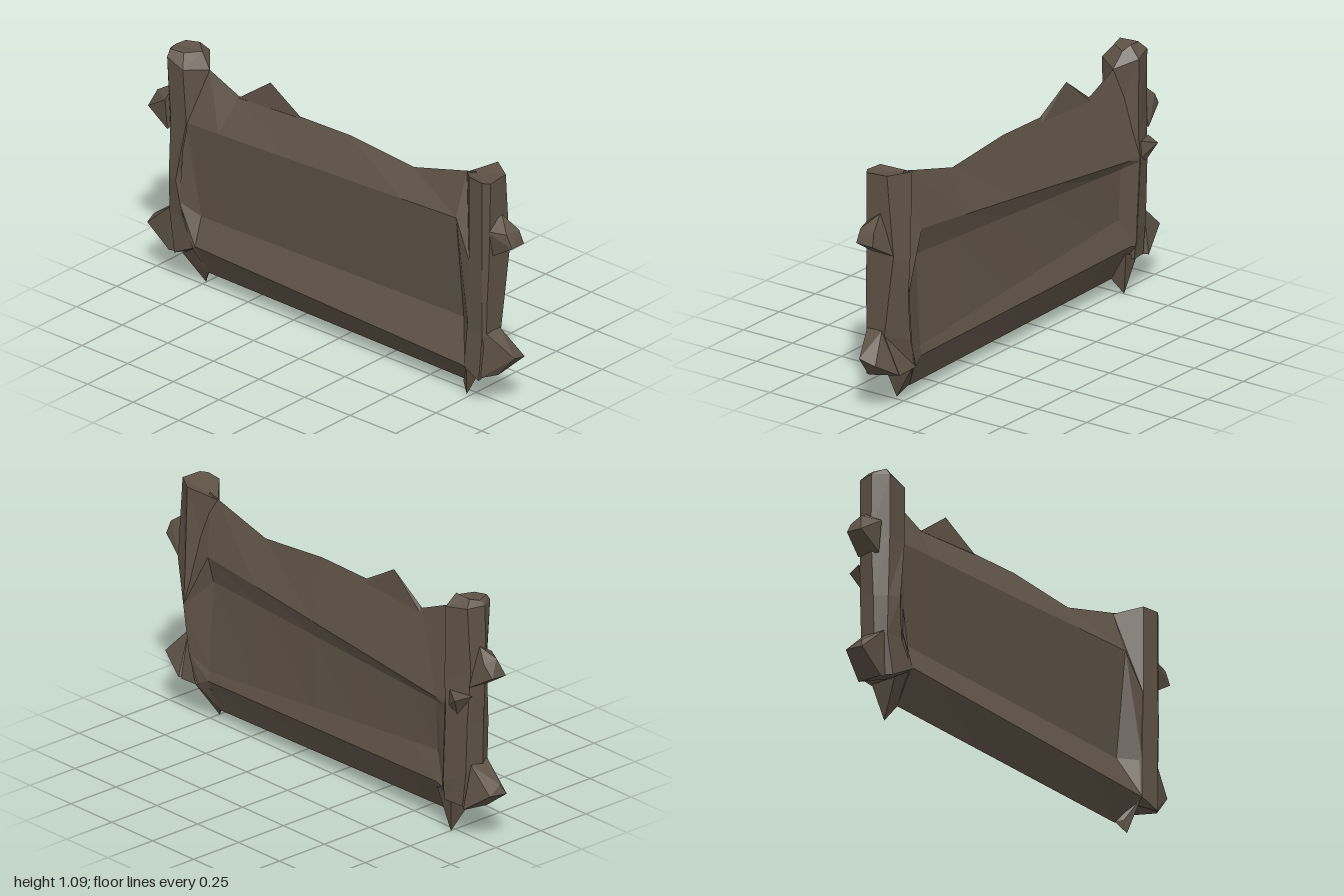
import * as THREE from 'three';
import { ConvexGeometry } from 'three/addons/geometries/ConvexGeometry.js';

// Skin closed rings of equal length, cap both ends, and wind faces outward.
function loft(rings) {
  const n = rings[0].length, tris = [];
  for (let r = 0; r < rings.length - 1; r++) {
    for (let i = 0; i < n; i++) {
      const j = (i + 1) % n;
      const a = rings[r][i], b = rings[r][j], c = rings[r + 1][j], d = rings[r + 1][i];
      tris.push([a, b, c], [a, c, d]);
    }
  }
  const first = rings[0], last = rings[rings.length - 1];
  for (let i = 1; i < n - 1; i++) {
    tris.push([first[0], first[i + 1], first[i]], [last[0], last[i], last[i + 1]]);
  }
  const v = (p) => new THREE.Vector3(...p);
  const volume = tris.reduce((s, [a, b, c]) => s + v(a).dot(v(b).cross(v(c))), 0);
  if (volume < 0) tris.forEach((t) => t.reverse());
  const g = new THREE.BufferGeometry();
  g.setAttribute('position', new THREE.Float32BufferAttribute(tris.flat(2), 3));
  g.computeVertexNormals();
  return g;
}

const hull = (points) => new ConvexGeometry(points.map((p) => new THREE.Vector3(...p)));

export function createModel() {
  const group = new THREE.Group();
  const wood = new THREE.MeshStandardMaterial({ color: 0x5e5246, flatShading: true });
  wood.name = 'dark weathered wood';
  const add = (name, geometry) => {
    const mesh = new THREE.Mesh(geometry, wood);
    mesh.name = name;
    group.add(mesh);
  };

  // Board: each profile row runs from [x, y, z] at the right end to [x, y, z] at the left end
  const profile = [
    [[-0.755, 0.77, 0.085], [0.70, 0.813, 0.068]],
    [[-0.715, 0.34, 0.047], [0.70, 0.34, 0.02]],
    [[-0.71, 0.22, 0.093], [0.75, 0.167, 0.098]],
    [[-0.71, 0.07, 0.01], [0.70, 0.05, 0.01]],
    [[-0.72, 0.23, -0.08], [0.70, 0.2, -0.056]],
    [[-0.69, 0.35, -0.042], [0.70, 0.24, -0.046]],
    [[-0.69, 0.575, -0.052], [0.70, 0.64, -0.025]],
    [[-0.72, 0.61, -0.08], [0.70, 0.76, -0.056]],
  ];
  const topEdge = [[-0.71, 1.0], [-0.55, 0.932], [-0.2, 0.95], [0.06, 0.955], [0.41, 0.925], [0.70, 1.005]];
  const stations = topEdge.map(([x, topY]) => {
    const t = (x + 0.71) / 1.41;
    return [[x, topY, 0], ...profile.map(([right, left]) =>
      right.map((value, k) => THREE.MathUtils.lerp(value, left[k], t)))];
  });
  // End sections flare out to meet the posts
  const rightJoint = [
    [-0.75, 1.01, 0], [-0.77, 0.77, 0.088], [-0.795, 0.4, 0.094], [-0.725, 0.21, 0.094], [-0.72, 0.08, 0.01],
    [-0.76, 0.22, -0.08], [-0.765, 0.3, -0.08], [-0.78, 0.59, -0.084], [-0.78, 0.61, -0.085],
  ];
  const leftJoint = [
    [0.75, 1.02, 0], [0.79, 0.65, 0.088], [0.785, 0.34, 0.088], [0.775, 0.165, 0.1], [0.72, 0.06, 0.01],
    [0.77, 0.17, -0.066], [0.795, 0.3, -0.072], [0.82, 0.5, -0.077], [0.82, 0.52, -0.078],
  ];
  add('board', loft([rightJoint, ...stations, leftJoint]));

  // Splinter standing on the top edge
  add('topSplinter', hull([
    [-0.55, 0.925, 0.004], [-0.38, 1.05, -0.003], [-0.2, 0.945, 0.004],
    [-0.54, 0.915, -0.008], [-0.21, 0.93, -0.008],
  ]));

  // Posts: rings run inner, front inner, front outer, outer, back outer, back inner
  add('leftPost', loft([
    [[0.70, 1.0, 0], [0.79, 1.04, 0.09], [0.87, 1.04, 0.1], [0.9, 1.04, 0.08], [0.895, 1.045, -0.02], [0.8, 1.05, -0.08]],
    [[0.75, 0.68, 0], [0.79, 0.65, 0.09], [0.87, 0.65, 0.1], [0.895, 0.65, 0.085], [0.89, 0.69, -0.05], [0.815, 0.65, -0.08]],
    [[0.75, 0.5, 0], [0.785, 0.5, 0.09], [0.87, 0.5, 0.1], [0.89, 0.5, 0.09], [0.888, 0.51, -0.025], [0.825, 0.5, -0.078]],
    [[0.74, 0.35, 0], [0.78, 0.35, 0.09], [0.87, 0.33, 0.1], [0.885, 0.33, 0.09], [0.885, 0.33, 0], [0.8, 0.3, -0.072]],
    [[0.70, 0.16, 0], [0.77, 0.165, 0.1], [0.86, 0.13, 0.11], [0.87, 0.15, 0.06], [0.86, 0.16, -0.06], [0.76, 0.17, -0.07]],
  ]));
  add('rightPost', loft([
    [[-0.76, 1.065, -0.01], [-0.8, 1.07, 0.06], [-0.86, 1.075, 0.075], [-0.88, 1.07, 0.02], [-0.86, 1.08, -0.02], [-0.79, 1.09, -0.03]],
    [[-0.71, 1.0, 0], [-0.77, 1.015, 0.1], [-0.86, 1.045, 0.095], [-0.9, 1.05, 0.03], [-0.88, 1.05, -0.05], [-0.78, 1.04, -0.08]],
    [[-0.73, 0.77, 0], [-0.76, 0.77, 0.09], [-0.85, 0.77, 0.085], [-0.905, 0.78, 0.03], [-0.89, 0.77, -0.04], [-0.775, 0.7, -0.082]],
    [[-0.74, 0.5, 0], [-0.805, 0.5, 0.105], [-0.86, 0.5, 0.085], [-0.89, 0.5, 0.03], [-0.88, 0.55, -0.05], [-0.785, 0.6, -0.085]],
    [[-0.73, 0.33, 0], [-0.78, 0.33, 0.09], [-0.86, 0.33, 0.08], [-0.885, 0.3, 0.03], [-0.87, 0.3, -0.05], [-0.765, 0.25, -0.08]],
    [[-0.71, 0.18, 0], [-0.72, 0.21, 0.095], [-0.83, 0.15, 0.085], [-0.87, 0.15, 0.02], [-0.85, 0.15, -0.05], [-0.76, 0.16, -0.07]],
  ]));

  // Beam ends poking out past the posts
  add('leftUpperBeamEnd', hull([
    [0.88, 0.82, 0.09], [0.9, 0.875, 0.01], [0.97, 0.82, 0.06], [0.975, 0.82, -0.012],
    [1.0, 0.765, 0.06], [0.995, 0.76, -0.02], [0.88, 0.69, 0.06], [0.88, 0.69, -0.05],
  ]));
  add('leftLowerBeamEnd', hull([
    [0.88, 0.35, 0.09], [0.89, 0.35, 0.01], [1.0, 0.255, 0.045], [0.99, 0.235, -0.03],
    [0.86, 0.14, 0.1], [0.92, 0.158, 0.055], [0.87, 0.165, -0.065], [0.78, 0.17, 0],
  ]));
  add('rightUpperBeamEnd', hull([
    [-0.89, 0.83, 0.075], [-0.9, 0.875, 0], [-0.97, 0.835, 0.03], [-0.96, 0.82, -0.03],
    [-1.0, 0.76, 0.055], [-1.0, 0.765, -0.02], [-0.89, 0.69, 0.06], [-0.89, 0.7, -0.05],
  ]));
  add('rightLowerBeamEnd', hull([
    [-0.87, 0.34, 0.07], [-0.88, 0.34, -0.03], [-0.98, 0.265, 0.04], [-1.0, 0.225, 0.06],
    [-0.995, 0.235, -0.03], [-0.88, 0.135, 0.06], [-0.87, 0.145, -0.065], [-0.79, 0.155, 0.05],
  ]));

  // Pointed feet
  add('leftFoot', hull([
    [0.70, 0.055, 0.01], [0.72, 0.06, 0.045], [0.775, 0.165, 0.09], [0.775, 0.165, -0.06],
    [0.70, 0.16, -0.04], [0.738, 0.005, 0.045],
  ]));
  add('rightFoot', hull([
    [-0.71, 0.07, 0.01], [-0.71, 0.21, 0.085], [-0.8, 0.155, 0.07], [-0.79, 0.16, -0.06],
    [-0.71, 0.2, -0.065], [-0.752, 0, -0.025],
  ]));

  // Knot on the back of the right post
  add('backKnot', hull([
    [-0.8, 0.67, -0.075], [-0.87, 0.65, -0.112], [-0.84, 0.57, -0.07],
    [-0.9, 0.66, -0.04], [-0.8, 0.6, -0.08],
  ]));

  return group;
}
